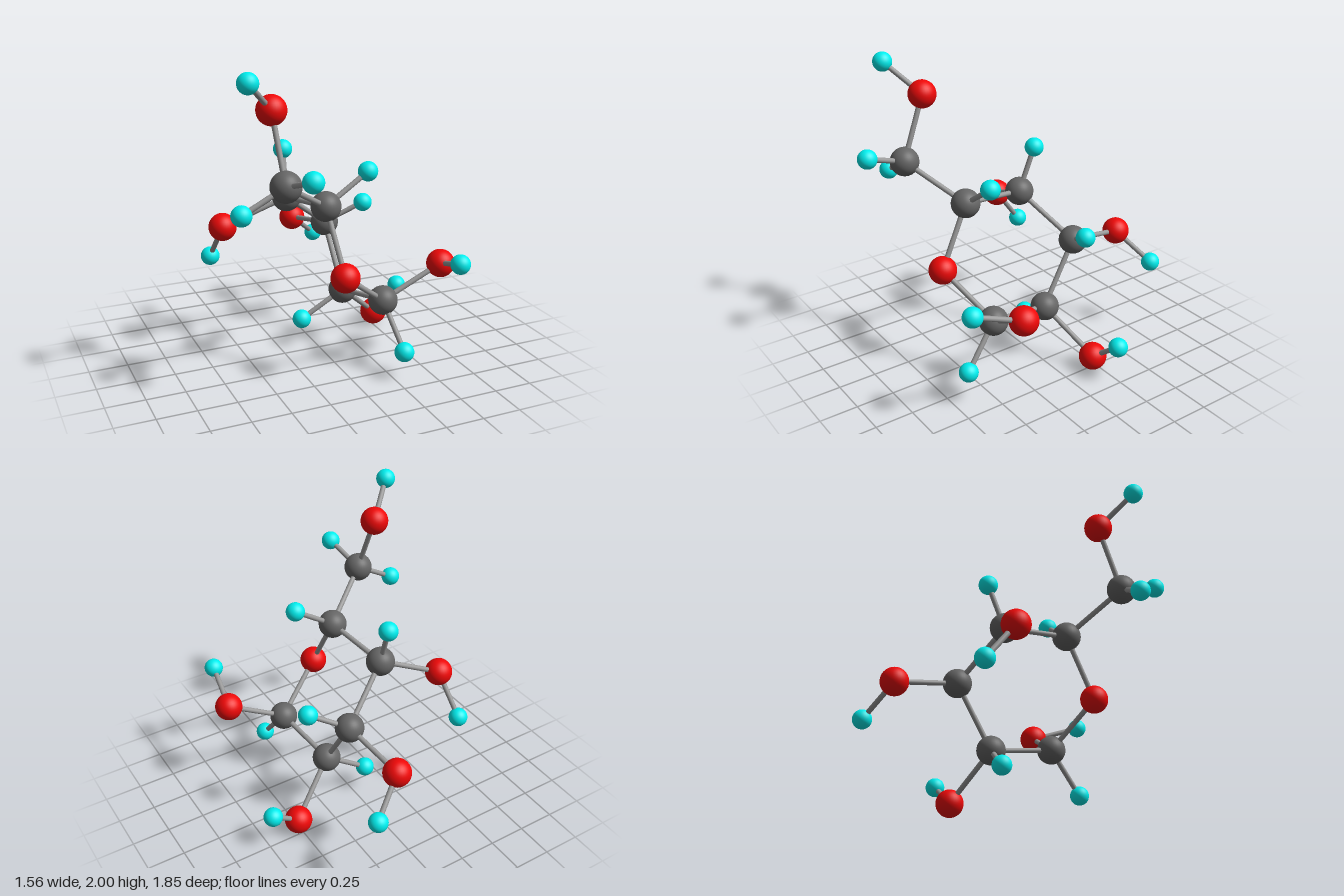
import * as THREE from 'three';

// Atom kinds: radius and colour
const KINDS = {
  carbon: { radius: 0.094, color: 0x666666 },
  oxygen: { radius: 0.091, color: 0xee0808 },
  hydrogen: { radius: 0.0625, color: 0x00eeee },
};
const BOND_RADIUS = 0.017;

// Each atom: kind, position, and the atom it is bonded to
const ATOMS = {
  // six-membered ring
  ringCarbon1: ['carbon', [0.267, 0.457, 0.404], 'ringOxygen'],
  ringCarbon2: ['carbon', [0.194, 0.373, -0.051], 'ringCarbon1'],
  ringCarbon3: ['carbon', [0.168, 0.784, -0.297], 'ringCarbon2'],
  ringCarbon4: ['carbon', [-0.183, 1.055, -0.113], 'ringCarbon3'],
  ringCarbon5: ['carbon', [-0.109, 1.113, 0.354], 'ringCarbon4'],
  ringOxygen: ['oxygen', [-0.071, 0.716, 0.56], 'ringCarbon5'],
  // side arm
  armCarbon: ['carbon', [-0.458, 1.336, 0.584], 'ringCarbon5'],
  armOxygen: ['oxygen', [-0.479, 1.748, 0.424], 'armCarbon'],
  armOxygenHydrogen: ['hydrogen', [-0.673, 1.938, 0.588], 'armOxygen'],
  armHydrogenA: ['hydrogen', [-0.72, 1.192, 0.566], 'armCarbon'],
  armHydrogenB: ['hydrogen', [-0.409, 1.43, 0.865], 'armCarbon'],
  // branches of the ring carbons
  hydrogen1: ['hydrogen', [0.311, 0.182, 0.624], 'ringCarbon1'],
  oxygen1: ['oxygen', [0.654, 0.665, 0.447], 'ringCarbon1'],
  oxygenHydrogen1: ['hydrogen', [0.602, 0.774, 0.767], 'oxygen1'],
  hydrogen2: ['hydrogen', [-0.089, 0.187, -0.09], 'ringCarbon2'],
  oxygen2: ['oxygen', [0.512, 0.093, -0.211], 'ringCarbon2'],
  oxygenHydrogen2: ['hydrogen', [0.715, 0.251, -0.248], 'oxygen2'],
  hydrogen3: ['hydrogen', [0.412, 0.922, -0.202], 'ringCarbon3'],
  oxygen3: ['oxygen', [0.1, 0.701, -0.729], 'ringCarbon3'],
  oxygenHydrogen3: ['hydrogen', [0.322, 0.511, -0.863], 'oxygen3'],
  hydrogen4: ['hydrogen', [-0.164, 1.349, -0.219], 'ringCarbon4'],
  oxygen4: ['oxygen', [-0.591, 0.875, -0.206], 'ringCarbon4'],
  oxygenHydrogen4: ['hydrogen', [-0.621, 0.613, -0.408], 'oxygen4'],
  hydrogen5: ['hydrogen', [0.173, 1.303, 0.351], 'ringCarbon5'],
};

export function createModel() {
  const model = new THREE.Group();
  model.name = 'molecule';
  const bondMaterial = new THREE.MeshStandardMaterial({ color: 0x999999 });
  const up = new THREE.Vector3(0, 1, 0);

  // One shared sphere and material per kind
  const shared = {};
  for (const [kind, { radius, color }] of Object.entries(KINDS)) {
    shared[kind] = {
      geometry: new THREE.SphereGeometry(radius, 32, 20),
      material: new THREE.MeshStandardMaterial({ color }),
    };
  }

  for (const [name, [kind, position, partner]] of Object.entries(ATOMS)) {
    // Atom ball
    const atom = new THREE.Mesh(shared[kind].geometry, shared[kind].material);
    atom.name = name;
    atom.position.set(...position);
    model.add(atom);

    // Bond rod to the partner atom
    const end = new THREE.Vector3(...ATOMS[partner][1]);
    const span = end.clone().sub(atom.position);
    const bond = new THREE.Mesh(
      new THREE.CylinderGeometry(BOND_RADIUS, BOND_RADIUS, span.length(), 16, 1, true),
      bondMaterial
    );
    bond.name = `${name}Bond`;
    bond.position.copy(atom.position).lerp(end, 0.5);
    bond.quaternion.setFromUnitVectors(up, span.normalize());
    model.add(bond);
  }
  return model;
}
